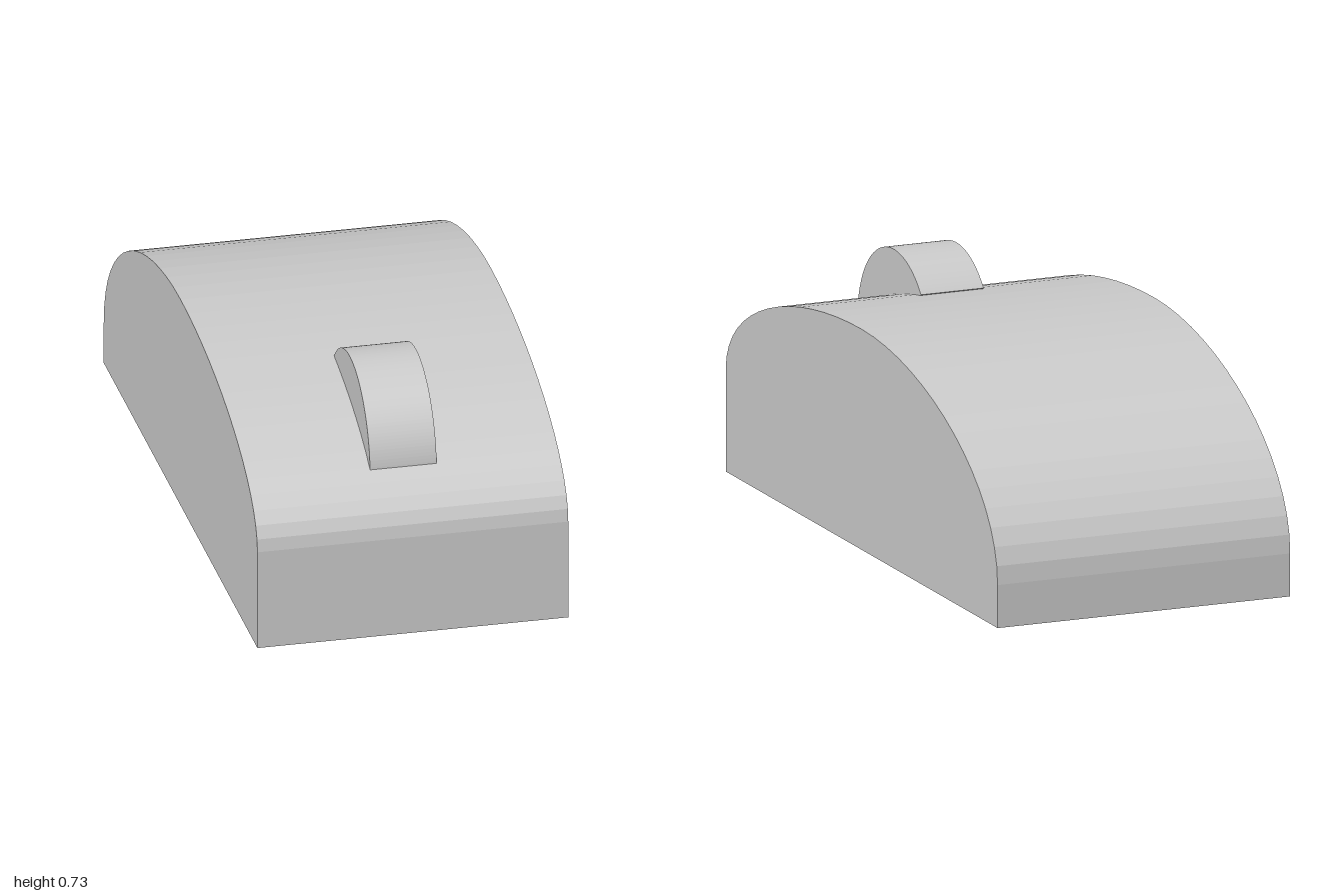
import * as THREE from 'three';

// Extrude a side profile (drawn as z, y) across x, centred on x = 0.
function slab(name, shape, width, curveSegments) {
  const geometry = new THREE.ExtrudeGeometry(shape, { depth: width, bevelEnabled: false, curveSegments });
  geometry.translate(0, 0, -width / 2);
  geometry.rotateY(-Math.PI / 2); // profile x becomes z
  const mesh = new THREE.Mesh(
    geometry,
    new THREE.MeshStandardMaterial({ color: 0xcccccc, flatShading: true })
  );
  mesh.name = name;
  return mesh;
}

export function createModel() {
  const group = new THREE.Group();
  group.name = 'computerMouse';

  // Body: flat base, upright ends and an arched back
  const body = new THREE.Shape();
  body.moveTo(-1, 0);
  body.lineTo(1, 0);
  body.lineTo(1, 0.31);
  body.bezierCurveTo(1, 0.52, 0.5, 0.667, 0, 0.667);
  body.bezierCurveTo(-0.48, 0.667, -1, 0.43, -1, 0.13);
  body.closePath();
  group.add(slab('body', body, 0.934, 16));

  // Scroll wheel: only its part above the body, so no hidden faces remain
  const wheel = new THREE.Shape();
  const cz = 0.61, cy = 0.46, r = 0.267;
  wheel.absarc(cz, cy, r, 0.07, 2.42, false);
  wheel.lineTo(0.5, 0.58);
  wheel.lineTo(0.7, 0.53);
  wheel.closePath();
  group.add(slab('scrollWheel', wheel, 0.2, 32));

  return group;
}
